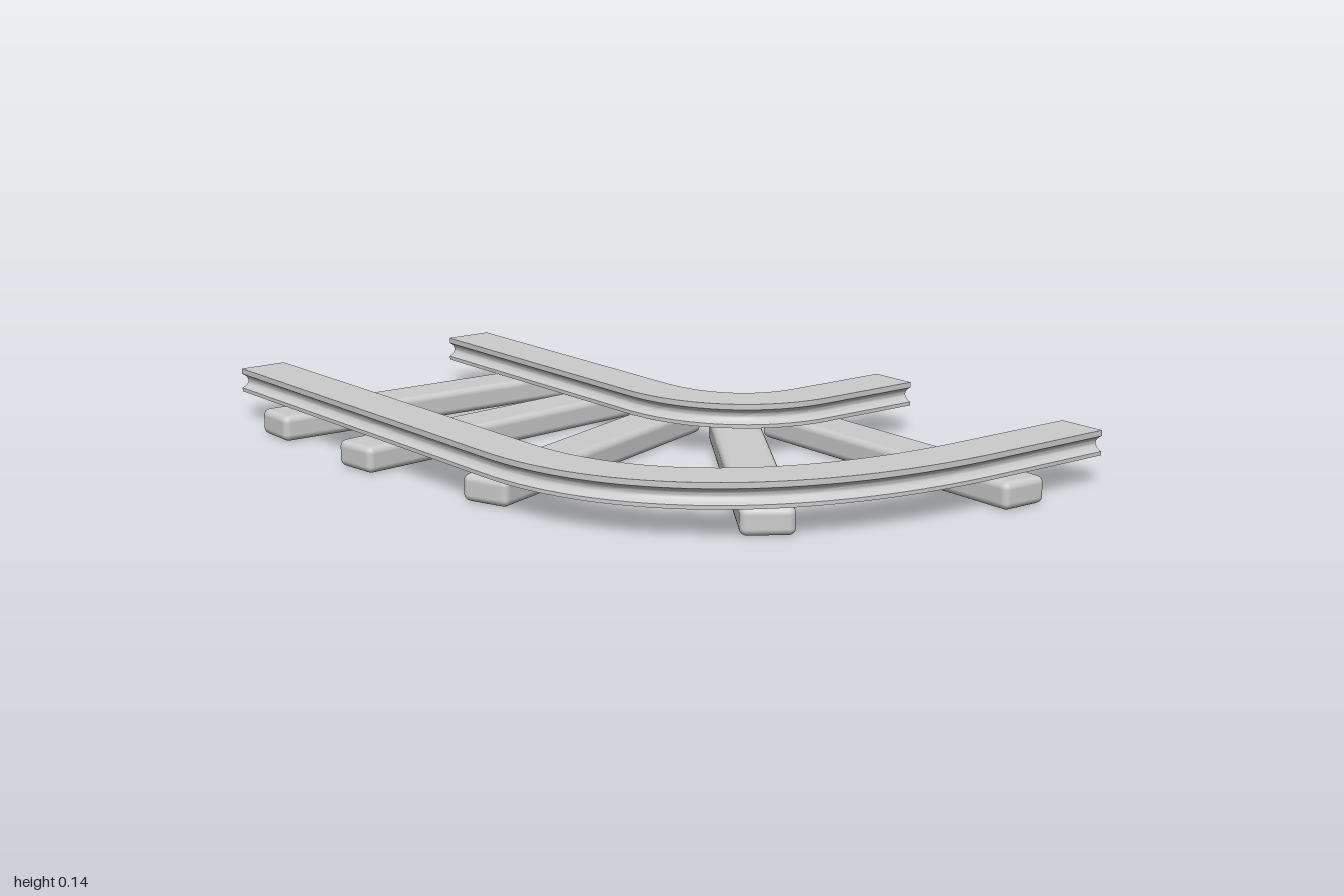
import * as THREE from 'three';
import { toCreasedNormals } from 'three/addons/utils/BufferGeometryUtils.js';
import { RoundedBoxGeometry } from 'three/addons/geometries/RoundedBoxGeometry.js';

const material = new THREE.MeshStandardMaterial({ color: 0xcccccc });
const flat = (x, z) => new THREE.Vector3(x, 0, z);

// Rail cross-section: flat top and bottom, a rounded groove along each side
function railProfile() {
  const w = 0.067, bottom = 0.075, top = 0.14;
  const s = new THREE.Shape();
  s.moveTo(-w, bottom);
  s.lineTo(w, bottom);
  s.lineTo(w, bottom + 0.01);
  s.bezierCurveTo(w - 0.026, bottom + 0.02, w - 0.026, top - 0.027, w, top - 0.015);
  s.lineTo(w, top);
  s.lineTo(-w, top);
  s.lineTo(-w, top - 0.015);
  s.bezierCurveTo(-w + 0.026, top - 0.027, -w + 0.026, bottom + 0.02, -w, bottom + 0.01);
  s.closePath();
  return s;
}

// Straight, bend, straight: points are start, four bend controls, end
function makeRail(name, [start, a, b, c, d, end]) {
  const path = new THREE.CurvePath();
  path.add(new THREE.LineCurve3(start, a));
  path.add(new THREE.CubicBezierCurve3(a, b, c, d));
  path.add(new THREE.LineCurve3(d, end));

  // Extrude a straight unit length, then bend it along the path
  const geometry = new THREE.ExtrudeGeometry(railProfile(), {
    depth: 1, steps: 72, bevelEnabled: false, curveSegments: 8,
  });
  const pos = geometry.attributes.position;
  for (let i = 0; i < pos.count; i++) {
    const t = THREE.MathUtils.clamp(pos.getZ(i), 0, 1);
    const p = path.getPoint(t), dir = path.getTangent(t);
    const side = pos.getX(i);
    pos.setXYZ(i, p.x + dir.z * side, pos.getY(i), p.z - dir.x * side);
  }
  const rail = new THREE.Mesh(toCreasedNormals(geometry, 0.6), material);
  rail.name = name;
  return rail;
}

// Rounded beam lying on the ground between two end points
function makeSleeper(x1, z1, x2, z2) {
  const length = Math.hypot(x2 - x1, z2 - z1);
  const sleeper = new THREE.Mesh(new RoundedBoxGeometry(0.134, 0.07, length, 3, 0.018), material);
  sleeper.position.set((x1 + x2) / 2, 0.035, (z1 + z2) / 2);
  sleeper.rotation.y = Math.atan2(x2 - x1, z2 - z1);
  return sleeper;
}

export function createModel() {
  const group = new THREE.Group();
  group.name = 'curvedTrack';

  group.add(makeRail('innerRail', [
    flat(-1, -0.113), flat(-0.13, -0.113), flat(0.07, -0.113),
    flat(0.205, -0.23), flat(0.205, -0.41), flat(0.205, -0.715),
  ]));
  group.add(makeRail('outerRail', [
    flat(-1, 0.58), flat(0.2, 0.566), flat(0.58, 0.56),
    flat(0.895, 0.3), flat(0.895, -0.35), flat(0.895, -0.715),
  ]));

  // Sleepers fanning around the bend, inner end to outer end
  [
    [-0.716, -0.235, -0.735, 0.698],
    [-0.404, -0.222, -0.307, 0.703],
    [-0.14, -0.243, 0.175, 0.625],
    [0.045, -0.275, 0.81, 0.255],
    [0.067, -0.425, 1.0, -0.406],
  ].forEach((ends, i) => {
    const sleeper = makeSleeper(...ends);
    sleeper.name = `sleeper${i + 1}`;
    group.add(sleeper);
  });
  return group;
}
